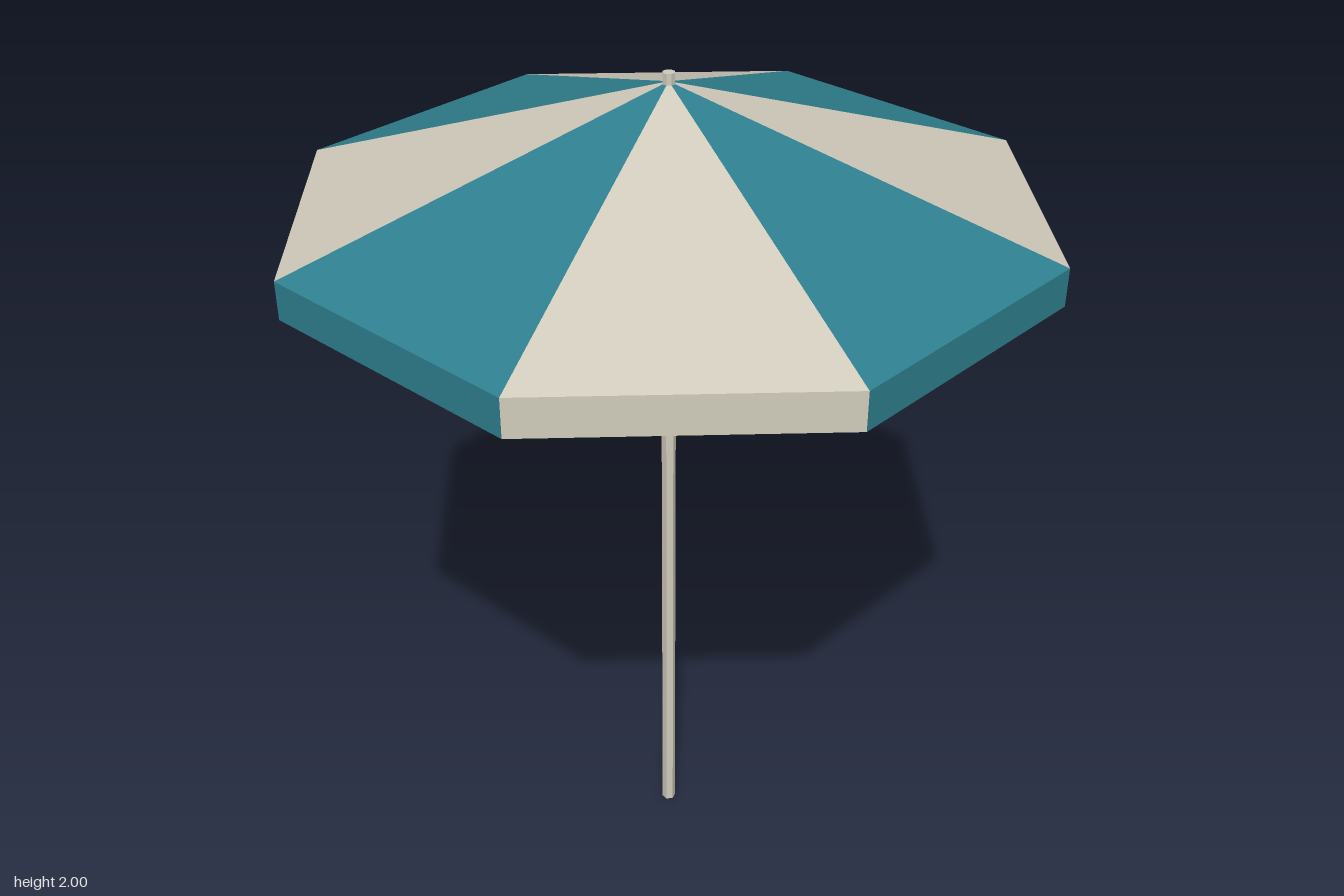
import * as THREE from 'three';

const SIDES = 8, RADIUS = 0.85, APEX = 1.98, RIM = 1.705, HEM = 1.62;

export function createModel() {
  const parasol = new THREE.Group();
  parasol.name = 'parasol';

  const canvas = (name, color) =>
    Object.assign(new THREE.MeshStandardMaterial({ color, side: THREE.DoubleSide, flatShading: true }), { name });
  const cream = canvas('cream canvas', 0xd0cbbb);
  const teal = canvas('teal canvas', 0x2f8190);
  const frame = new THREE.MeshStandardMaterial({ color: 0xcfcabb, flatShading: true });
  frame.name = 'painted frame';

  const corner = (i, r, y) => {
    const a = (i / SIDES) * Math.PI * 2;
    return new THREE.Vector3(Math.sin(a) * r, y, Math.cos(a) * r);
  };

  const addMesh = (name, geometry, material) => {
    const mesh = new THREE.Mesh(geometry, material);
    mesh.name = name;
    parasol.add(mesh);
    return mesh;
  };

  // Flat fabric piece from triangles listed counter-clockwise
  const fabric = (points) => {
    const geometry = new THREE.BufferGeometry().setFromPoints(points);
    geometry.computeVertexNormals();
    return geometry;
  };

  // Upright cylinder between two heights
  const post = (name, radius, bottom, top, sides) => {
    const geometry = new THREE.CylinderGeometry(radius, radius, top - bottom, sides);
    addMesh(name, geometry, frame).position.y = (top + bottom) / 2;
  };

  // Canopy panels and hanging valance, in alternating colours
  const apex = new THREE.Vector3(0, APEX, 0);
  for (let i = 0; i < SIDES; i++) {
    const material = i % 2 ? teal : cream;
    const a = corner(i, RADIUS, RIM), b = corner(i + 1, RADIUS, RIM);
    const c = corner(i, RADIUS, HEM), d = corner(i + 1, RADIUS, HEM);
    addMesh('canopyPanel', fabric([apex, a, b]), material);
    addMesh('valance', fabric([a, c, d, a, d, b]), material);
  }

  // Struts fanning out from the pole to the canopy corners
  const up = new THREE.Vector3(0, 1, 0);
  for (let i = 0; i < SIDES; i++) {
    const start = new THREE.Vector3(0, 1.465, 0);
    const end = corner(i, 0.715, 1.677);
    const along = end.clone().sub(start);
    const strut = addMesh('strut', new THREE.CylinderGeometry(0.007, 0.007, along.length(), 6), frame);
    strut.position.copy(start).add(end).multiplyScalar(0.5);
    strut.quaternion.setFromUnitVectors(up, along.normalize());
  }

  // Two-stage pole with a collar, poking through the canopy
  post('lowerPole', 0.0165, 0, 1.19, 6);
  post('upperPole', 0.014, 1.19, 2, 8);
  post('collar', 0.029, 1.305, 1.355, 6);

  return parasol;
}
